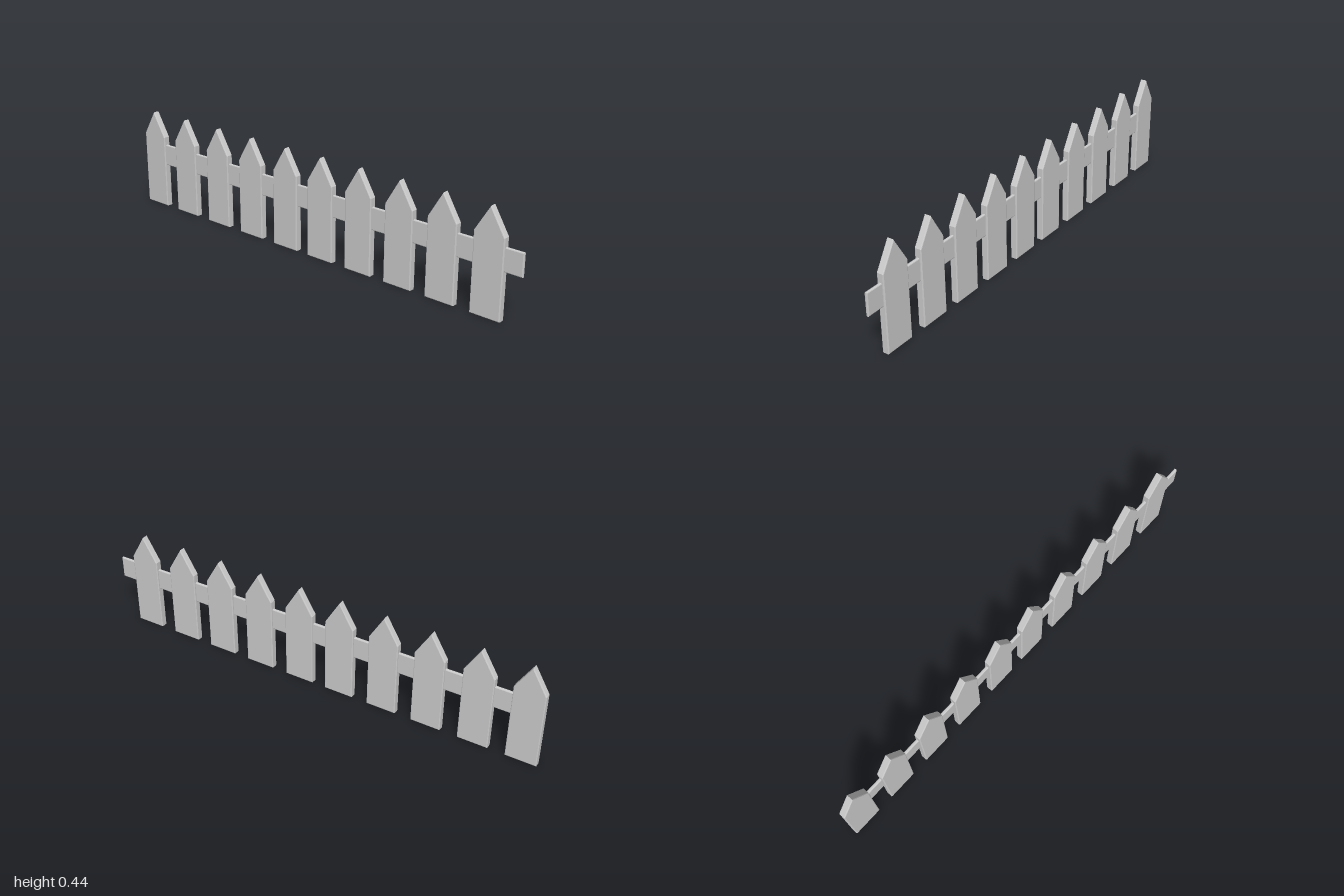
import * as THREE from 'three';

const material = new THREE.MeshStandardMaterial({ color: 0xcccccc });

// Flat board from an outline, centred on z, with softened edges inside the outline
function board(points, thickness, bevel) {
  const shape = new THREE.Shape(points.map(([x, y]) => new THREE.Vector2(x, y)));
  const geometry = new THREE.ExtrudeGeometry(shape, {
    depth: thickness - 2 * bevel,
    bevelEnabled: true,
    bevelThickness: bevel,
    bevelSize: bevel,
    bevelOffset: -bevel,
    bevelSegments: 2,
  });
  return geometry.translate(0, 0, bevel - thickness / 2);
}

export function createModel() {
  const fence = new THREE.Group();
  fence.name = 'picketFence';

  // Pointed pickets, slightly uneven in spacing
  const halfWidth = 0.065;
  const picketGeometry = board([
    [-halfWidth, 0], [halfWidth, 0], [halfWidth, 0.33], [0, 0.438], [-halfWidth, 0.33],
  ], 0.03, 0.004);
  const centres = [-0.935, -0.733, -0.528, -0.327, -0.127, 0.063, 0.261, 0.459, 0.657, 0.859];
  centres.forEach((x, i) => {
    const picket = new THREE.Mesh(picketGeometry, material);
    picket.name = `picket${i + 1}`;
    picket.position.x = x;
    fence.add(picket);
  });

  // Single rail through the pickets, protruding at the left end
  const rail = new THREE.Mesh(board([
    [-0.94, 0.198], [1, 0.198], [1, 0.294], [-0.94, 0.294],
  ], 0.013, 0.004), material);
  rail.name = 'rail';
  fence.add(rail);

  return fence;
}
